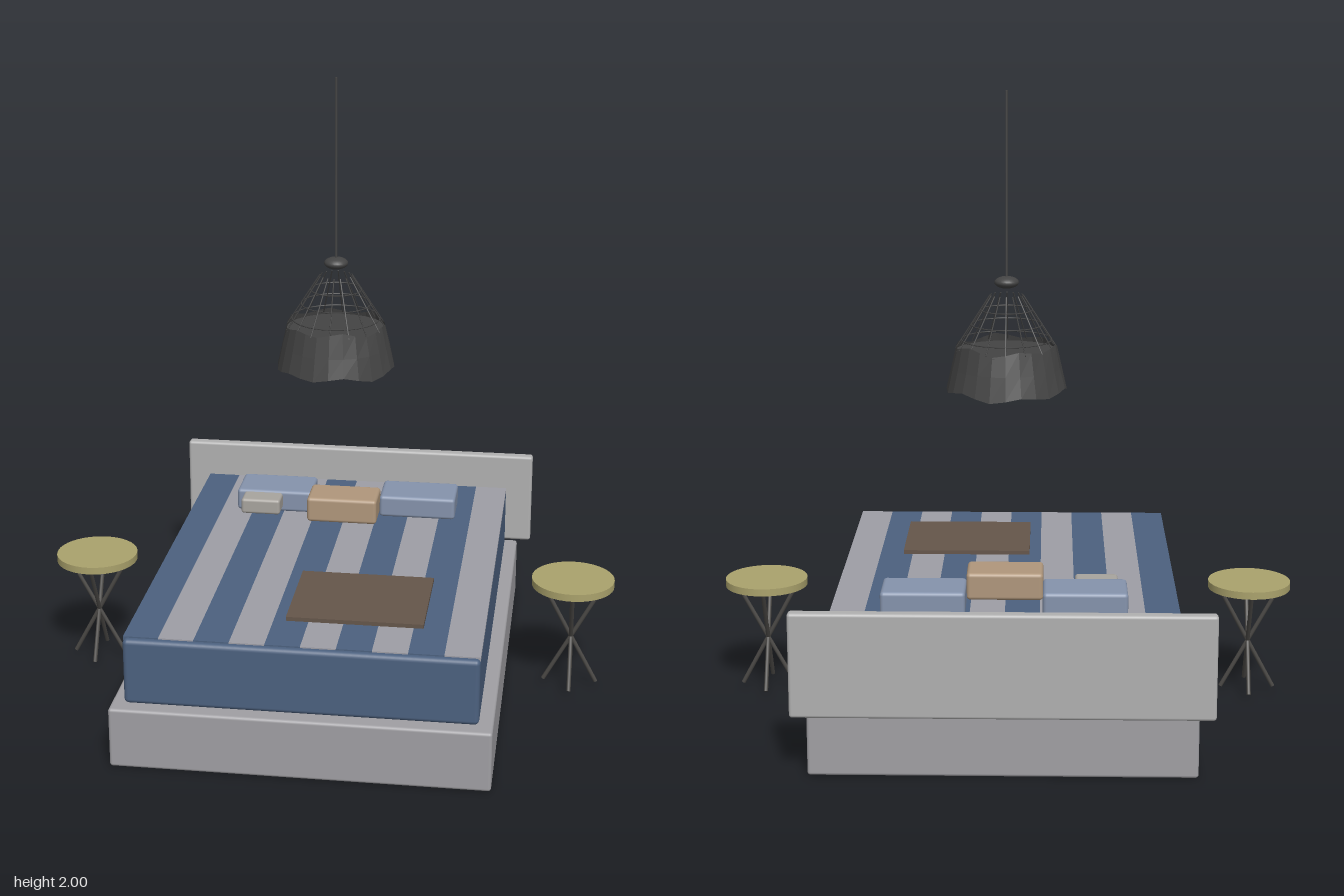
import * as THREE from 'three';
import { RoundedBoxGeometry } from 'three/addons/geometries/RoundedBoxGeometry.js';

const mat = (color, extra = {}) => new THREE.MeshStandardMaterial({ color, ...extra });
const blue = mat(0x4c617f), grey = mat(0x9e9ea6), frameGrey = mat(0xa09fa3), boardGrey = mat(0xb0b0b0);
const pillowBlue = mat(0x8593ac), tan = mat(0xb0977c), pale = mat(0xa8a49e), brown = mat(0x65564a);
const brass = mat(0xaaa26c), dark = mat(0x4a4845), black = mat(0x444444);
const cloth = mat(0x444444, { flatShading: true, side: THREE.DoubleSide });

function add(parent, name, geometry, material, x = 0, y = 0, z = 0) {
  const m = new THREE.Mesh(geometry, material);
  m.name = name;
  m.position.set(x, y, z);
  parent.add(m);
  return m;
}

// Box given by its extents, with softened edges when r > 0
function block(parent, name, material, [x0, x1], [y0, y1], [z0, z1], r = 0) {
  const s = [x1 - x0, y1 - y0, z1 - z0];
  const g = r ? new RoundedBoxGeometry(...s, 3, r) : new THREE.BoxGeometry(...s);
  return add(parent, name, g, material, (x0 + x1) / 2, (y0 + y1) / 2, (z0 + z1) / 2);
}

// Thin round bar between two points
function rod(parent, name, material, a, b, r, sides = 8) {
  const d = b.clone().sub(a);
  const m = add(parent, name, new THREE.CylinderGeometry(r, r, d.length(), sides), material);
  m.position.copy(a).add(b).multiplyScalar(0.5);
  m.quaternion.setFromUnitVectors(new THREE.Vector3(0, 1, 0), d.normalize());
  return m;
}

function makeBed() {
  const bed = new THREE.Group();
  bed.name = 'bed';
  block(bed, 'bedBase', frameGrey, [-0.588, 0.585], [0.004, 0.2], [-0.73, 0.765], 0.01);
  block(bed, 'headboard', boardGrey, [-0.635, 0.632], [0.2, 0.525], [-0.767, -0.727], 0.01);
  block(bed, 'mattress', blue, [-0.545, 0.542], [0.204, 0.418], [-0.682, 0.73], 0.015);
  // Striped bedspread
  for (let i = 0; i < 10; i++) {
    const x = -0.545 + i * 0.1087;
    block(bed, 'bedspreadStripe', i % 2 ? grey : blue, [x, x + 0.1087], [0.41, 0.422], [-0.675, 0.71]);
  }
  // Pillows and throw
  for (const x of [-0.25, 0.25])
    block(bed, 'pillow', pillowBlue, [x - 0.131, x + 0.131], [0.427, 0.503], [-0.494, -0.332], 0.012);
  block(bed, 'middleCushion', tan, [-0.12, 0.12], [0.438, 0.525], [-0.367, -0.226], 0.012);
  block(bed, 'smallCushion', pale, [-0.355, -0.22], [0.442, 0.496], [-0.345, -0.26], 0.01);
  block(bed, 'throw', brown, [-0.072, 0.355], [0.421, 0.435], [0.18, 0.535]);
  return bed;
}

function makeSideTable(x) {
  const table = new THREE.Group();
  table.name = 'sideTable';
  table.position.set(x, 0, 0.016);
  add(table, 'tableTop', new THREE.CylinderGeometry(0.135, 0.135, 0.024, 40), brass, 0, 0.377, 0);
  // Four slanted legs crossing at mid height
  for (let i = 0; i < 4; i++) {
    const a = i * Math.PI / 2, c = Math.cos(a), s = Math.sin(a);
    rod(table, 'tableLeg', dark, new THREE.Vector3(-0.087 * c, 0.02, -0.087 * s),
      new THREE.Vector3(0.1 * c, 0.366, 0.1 * s), 0.007);
  }
  return table;
}

function makeLamp() {
  const lamp = new THREE.Group();
  lamp.name = 'pendantLamp';
  lamp.position.set(0, 0, -0.09);
  rod(lamp, 'cord', black, new THREE.Vector3(0, 1.4, 0), new THREE.Vector3(0, 2, 0), 0.004);
  add(lamp, 'cap', new THREE.SphereGeometry(0.039, 24, 12), black, 0, 1.4, 0).scale.y = 0.5;

  // Wire cage: spokes and rings on a cone
  const radius = y => 0.052 + (1.36 - y) * 0.64;
  for (let i = 0; i < 16; i++) {
    const a = i * Math.PI / 8, c = Math.cos(a), s = Math.sin(a);
    rod(lamp, 'cageSpoke', black, new THREE.Vector3(c * radius(1.36), 1.36, s * radius(1.36)),
      new THREE.Vector3(c * radius(1.19), 1.19, s * radius(1.19)), 0.0022, 5);
  }
  for (const y of [1.312, 1.265, 1.217])
    add(lamp, 'cageRing', new THREE.TorusGeometry(radius(y), 0.0022, 5, 48), black, 0, y, 0).rotation.x = Math.PI / 2;

  // Draped shade with an uneven top edge and hem
  const g = new THREE.CylinderGeometry(0.16, 0.192, 0.14, 24, 2, true);
  const p = g.attributes.position;
  for (let i = 0; i < p.count; i++) {
    const y = p.getY(i), k = i % 25 % 24;
    const wave = Math.sin(k * Math.PI / 2) * 0.008 + Math.cos(k * Math.PI / 4) * 0.004;
    if (Math.abs(y) > 0.01) p.setY(i, y + wave);
  }
  g.computeVertexNormals();
  add(lamp, 'shade', g, cloth, 0, 1.128, 0);
  add(lamp, 'shadeLining', new THREE.CircleGeometry(0.163, 24), cloth, 0, 1.182, 0).rotation.x = -Math.PI / 2;
  return lamp;
}

export function createModel() {
  const model = new THREE.Group();
  model.name = 'bedroomSet';
  model.add(makeBed(), makeSideTable(-0.8), makeSideTable(0.8), makeLamp());
  return model;
}
